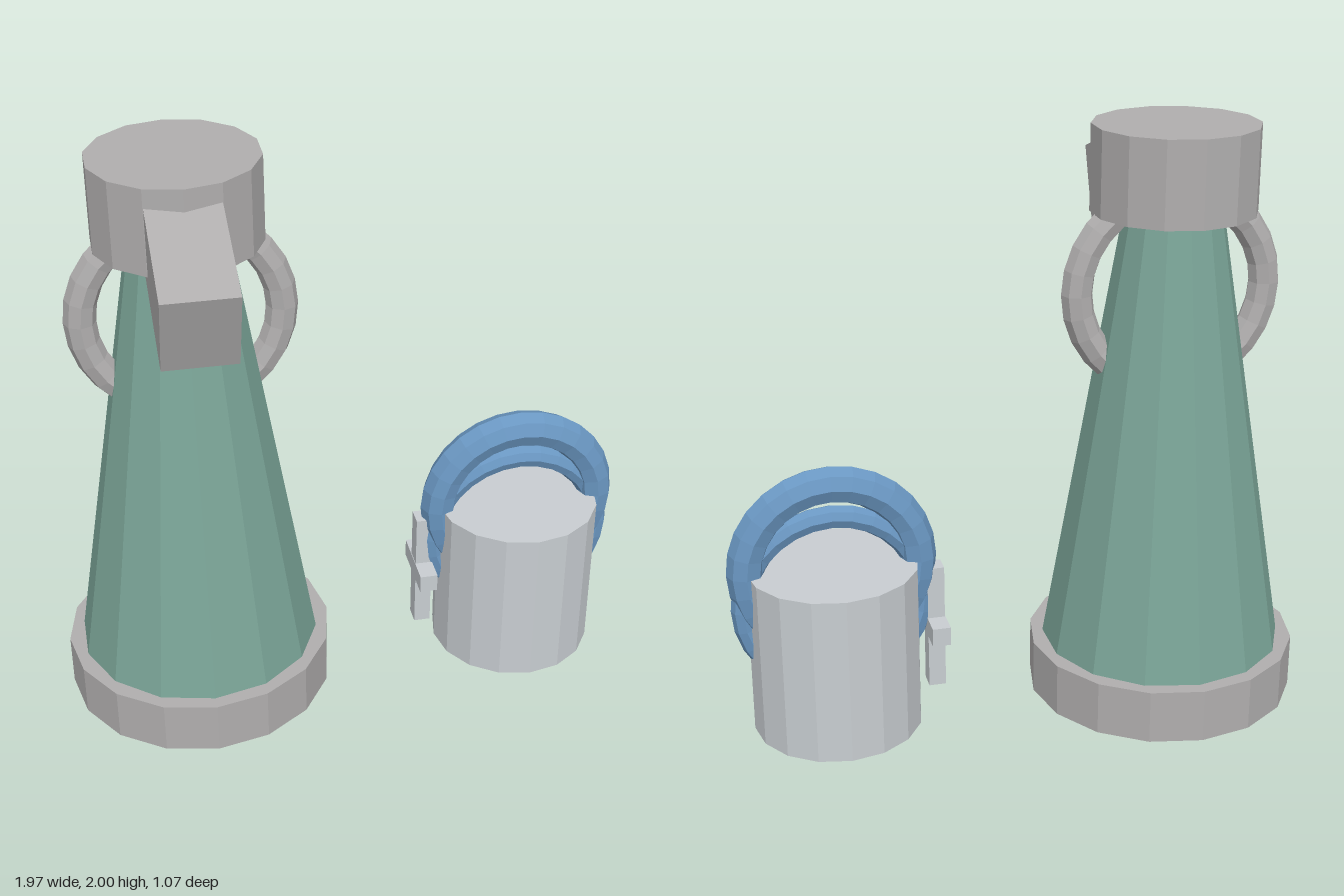
import * as THREE from 'three';

const paint = (color) => new THREE.MeshStandardMaterial({ color, flatShading: true });

function add(parent, name, geometry, material, x = 0, y = 0, z = 0) {
  const mesh = new THREE.Mesh(geometry, material);
  mesh.name = name;
  mesh.position.set(x, y, z);
  parent.add(mesh);
  return mesh;
}

// Cylinder or cone standing between two heights
function drum(parent, name, material, rBottom, rTop, y0, y1, sides) {
  const geometry = new THREE.CylinderGeometry(rTop, rBottom, y1 - y0, sides);
  return add(parent, name, geometry, material, 0, (y0 + y1) / 2, 0);
}

// Upright ring facing the front
function ring(parent, name, material, radius, tube, y) {
  return add(parent, name, new THREE.TorusGeometry(radius, tube, 8, 28), material, 0, y, 0);
}

export function createModel() {
  const model = new THREE.Group();
  const grey = paint(0xb0aeae);
  const green = paint(0x7ba598);
  const pale = paint(0xc8cdd1);
  const blue = paint(0x6a97c2);

  // Tall tapered vessel
  const vessel = new THREE.Group();
  vessel.name = 'vessel';
  vessel.position.set(-0.527, 0, -0.07);
  drum(vessel, 'body', green, 0.448, 0.15, 0, 1.8, 14);
  drum(vessel, 'baseRim', grey, 0.463, 0.463, 0.004, 0.19, 16);
  drum(vessel, 'cap', grey, 0.275, 0.275, 1.715, 2, 14);
  ring(vessel, 'sideHandles', grey, 0.325, 0.053, 1.455);

  // Spout tilted down towards the front
  const spout = add(vessel, 'spout', new THREE.BoxGeometry(0.235, 0.287, 0.393), grey, 0, 1.74, 0.372);
  spout.rotation.x = THREE.MathUtils.degToRad(20);
  model.add(vessel);

  // Small canister with two carrying rings sunk into it
  const canister = new THREE.Group();
  canister.name = 'canister';
  canister.position.set(0.631, 0, -0.07);
  drum(canister, 'canisterBody', pale, 0.2875, 0.2875, 0, 0.583, 16);
  ring(canister, 'upperHandle', blue, 0.289, 0.063, 0.583);
  ring(canister, 'lowerHandle', blue, 0.304, 0.04, 0.452);

  // Cross on the right side, just clear of the wall
  add(canister, 'crossUpright', new THREE.BoxGeometry(0.058, 0.445, 0.065), pale, -0.342, 0.32, -0.004);
  add(canister, 'crossBar', new THREE.BoxGeometry(0.062, 0.065, 0.232), pale, -0.342, 0.325, -0.004);
  model.add(canister);

  return model;
}
